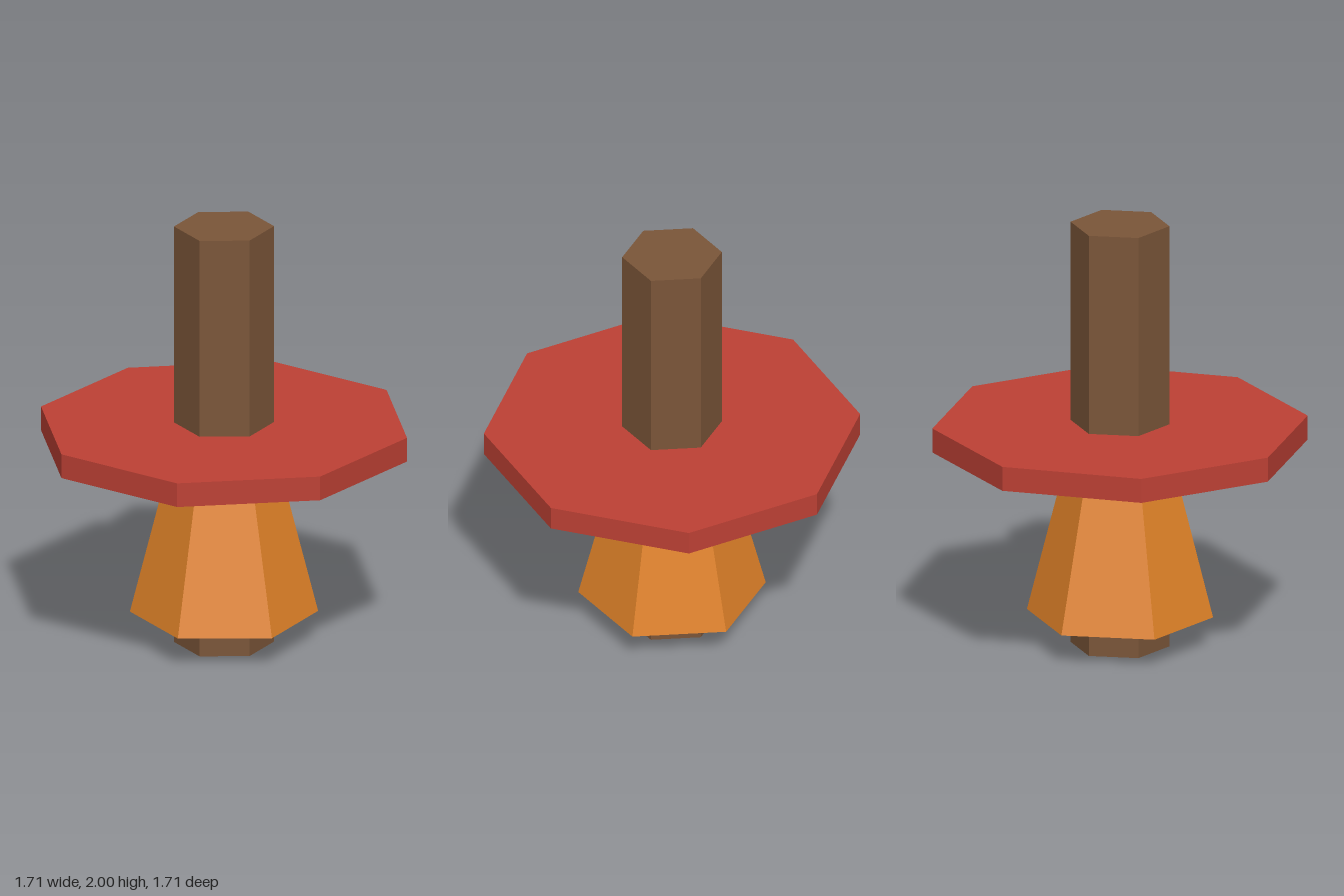
import * as THREE from 'three';

export function createModel() {
  const model = new THREE.Group();

  // Faceted prism or frustum spanning y0..y1
  function prism(name, color, sides, rBottom, rTop, y0, y1) {
    const mesh = new THREE.Mesh(
      new THREE.CylinderGeometry(rTop, rBottom, y1 - y0, sides),
      new THREE.MeshStandardMaterial({ color, flatShading: true })
    );
    mesh.name = name;
    mesh.position.y = (y0 + y1) / 2;
    model.add(mesh);
  }

  // Hexagonal shaft through the whole model
  prism('shaft', 0x7a5538, 6, 0.227, 0.227, 0, 2);
  // Flared skirt below the disc
  prism('flaredSkirt', 0xe08228, 6, 0.427, 0.227, 0.147, 0.943);
  // Eight-sided disc
  prism('disc', 0xbc4034, 8, 0.857, 0.857, 0.943, 1.057);
  // Hexagonal collar set into the disc, a hair short of its faces
  prism('collar', 0x95a0a8, 6, 0.34, 0.34, 0.9435, 1.0565);

  return model;
}
